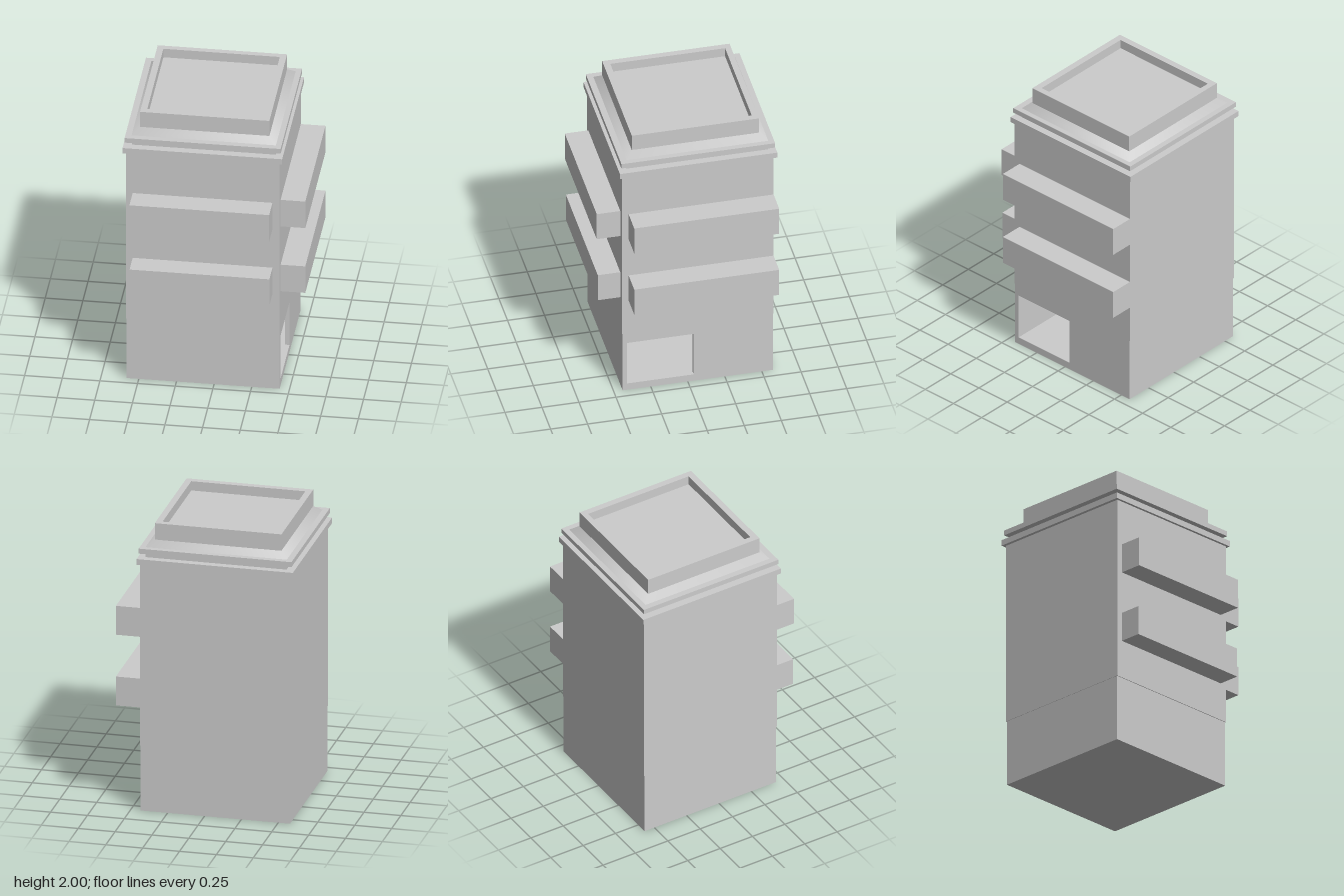
import * as THREE from 'three';

const material = new THREE.MeshStandardMaterial({ color: 0xcccccc });

// Box given by its lower and upper corners
function block(name, x0, x1, y0, y1, z0, z1) {
  const mesh = new THREE.Mesh(new THREE.BoxGeometry(x1 - x0, y1 - y0, z1 - z0), material);
  mesh.name = name;
  mesh.position.set((x0 + x1) / 2, (y0 + y1) / 2, (z0 + z1) / 2);
  return mesh;
}

function rectangle(PathType, a0, b0, a1, b1) {
  return new PathType([[a0, b0], [a1, b0], [a1, b1], [a0, b1]].map(([a, b]) => new THREE.Vector2(a, b)));
}

// Wall with a rectangular opening, extruded along +z
function pierced(name, outer, hole, depth) {
  const shape = rectangle(THREE.Shape, ...outer);
  shape.holes.push(rectangle(THREE.Path, ...hole));
  const mesh = new THREE.Mesh(new THREE.ExtrudeGeometry(shape, { depth, bevelEnabled: false }), material);
  mesh.name = name;
  return mesh;
}

// Hollow ground floor with a doorway in its +x wall
function createGroundFloor() {
  const group = new THREE.Group();
  group.name = 'groundFloor';
  const t = 0.03;
  const [x0, x1, z0, z1, top] = [-0.58, 0.435, -0.575, 0.44, 0.46];
  group.add(
    block('floorSlab', x0, x1, 0, 0.05, z0, z1),
    block('frontWall', x0, x1, 0.05, top, z1 - t, z1),
    block('backWall', x0, x1, 0.05, top, z0, z0 + t),
    block('blankSideWall', x0, x0 + t, 0.05, top, z0 + t, z1 - t),
    block('interiorPanel', x0 + t, x0 + t + 0.02, 0.19, 0.285, 0.13, 0.37),
  );
  // Drawn with -z as the horizontal axis, then turned to face +x
  const doorWall = pierced('doorWall', [-z1 + t, 0.05, -z0 - t, top], [-0.409, 0.051, 0.04, 0.38], t);
  doorWall.rotation.y = Math.PI / 2;
  doorWall.position.x = x1 - t;
  group.add(doorWall);
  return group;
}

function createRoof() {
  const group = new THREE.Group();
  group.name = 'roof';
  group.add(
    block('lowerCornice', -0.605, 0.455, 1.735, 1.775, -0.6, 0.463),
    block('corniceNeck', -0.55, 0.405, 1.775, 1.81, -0.55, 0.41),
    block('upperCornice', -0.593, 0.443, 1.81, 1.845, -0.588, 0.45),
    block('roofDeck', -0.47, 0.325, 1.845, 1.935, -0.47, 0.325),
  );
  // Four-sided sloping skirt
  const skirt = new THREE.Mesh(
    new THREE.CylinderGeometry(0.43 * Math.SQRT2, 0.479 * Math.SQRT2, 0.04, 4, 1, true).rotateY(Math.PI / 4),
    material,
  );
  skirt.name = 'roofSkirt';
  skirt.position.set(-0.073, 1.865, -0.071);
  // Parapet ring
  const parapet = pierced('parapet', [-0.503, -0.36, 0.356, 0.5], [-0.46, -0.315, 0.313, 0.46], 0.115);
  parapet.rotation.x = -Math.PI / 2;
  parapet.position.y = 1.885;
  group.add(skirt, parapet);
  return group;
}

export function createModel() {
  const model = new THREE.Group();
  model.name = 'towerBuilding';
  model.add(createGroundFloor());
  model.add(block('upperStoreys', -0.583, 0.436, 0.46, 1.74, -0.58, 0.445));
  model.add(createRoof());

  // Two levels of balconies on the front and the +x side
  [[0.725, 0.597], [1.222, 0.604]].forEach(([y, reach], i) => {
    model.add(block('frontBalcony' + (i + 1), -0.54, 0.388, y, y + 0.203, 0.44, reach));
    model.add(block('sideBalcony' + (i + 1), 0.43, 0.6, y, y + 0.203, -0.579, 0.4));
  });
  return model;
}
